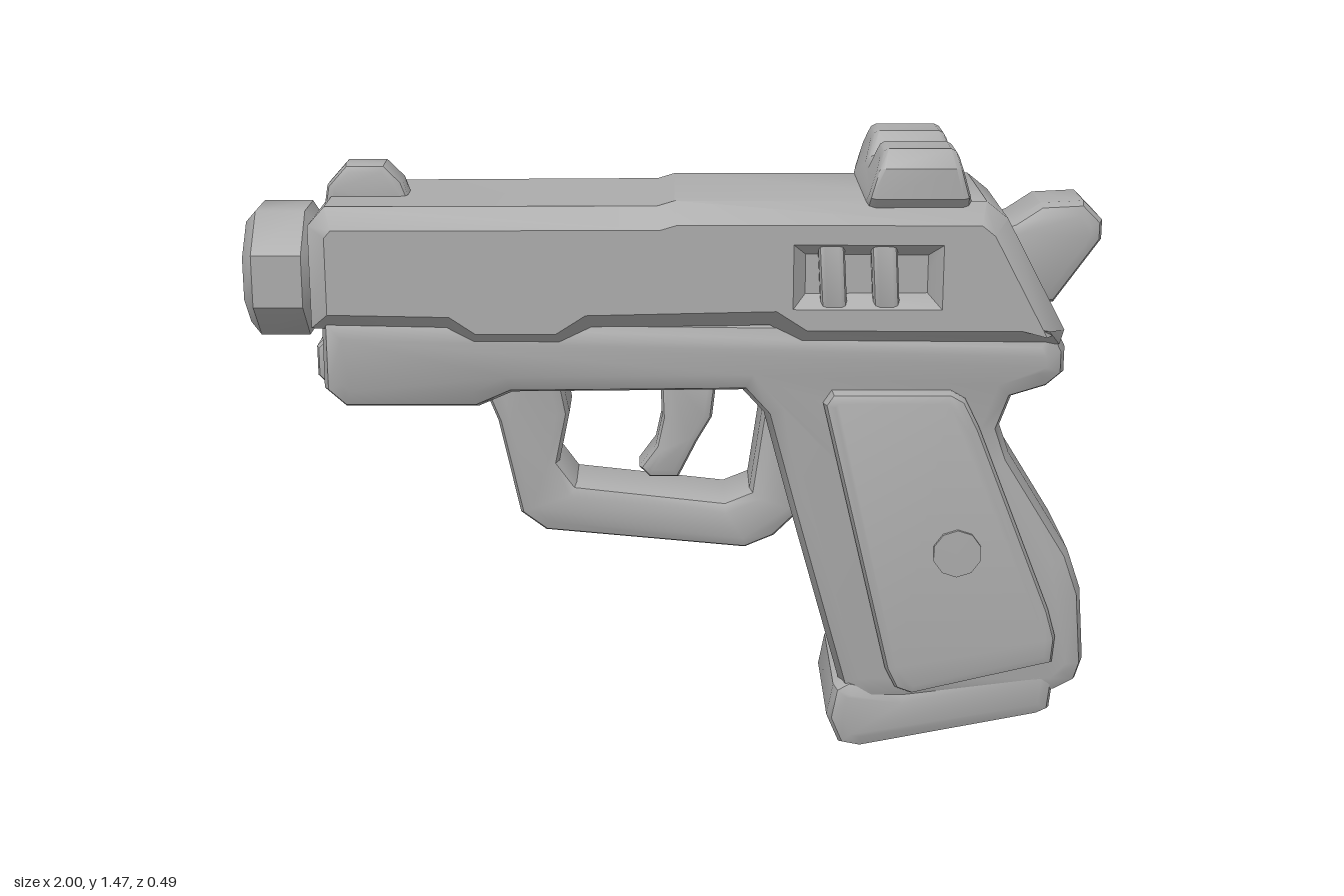
import * as THREE from 'three';
import { toCreasedNormals } from 'three/addons/utils/BufferGeometryUtils.js';

const toVectors = (points) => points.map(([x, y]) => new THREE.Vector2(x, y));

// Side outline extruded across z to +-half, with edges rounded inward by bevel
function slab(points, half, bevel, { holes = [], thick = bevel, segments = 2 } = {}) {
  const shape = new THREE.Shape(toVectors(points));
  for (const hole of holes) shape.holes.push(new THREE.Path(toVectors(hole)));
  const geometry = new THREE.ExtrudeGeometry(shape, {
    depth: 2 * (half - thick), bevelEnabled: true, bevelSegments: segments,
    bevelSize: bevel, bevelThickness: thick, bevelOffset: -bevel,
  });
  return geometry.translate(0, 0, thick - half);
}

// Apply fn to every vertex position
function warp(geometry, fn) {
  const p = geometry.attributes.position;
  const v = new THREE.Vector3();
  for (let i = 0; i < p.count; i++) {
    fn(v.fromBufferAttribute(p, i));
    p.setXYZ(i, v.x, v.y, v.z);
  }
  return geometry;
}

export function createModel() {
  const group = new THREE.Group();
  const grey = new THREE.MeshStandardMaterial({ color: 0xaaaaaa });
  grey.name = 'grey';

  function add(name, geometry, crease = 0.65) {
    const mesh = new THREE.Mesh(toCreasedNormals(geometry, crease), grey);
    mesh.name = name;
    group.add(mesh);
  }

  // Slide with a stepped lower edge, a recess for the grip ribs and a slight taper to the nose
  const slide = slab([
    [-0.84, 1.05], [-0.84, 1.29], [-0.8, 1.335], [-0.04, 1.338], [0, 1.35],
    [0.71, 1.35], [0.76, 1.31], [0.9, 1.05], [0.89, 1.015], [0.29, 1.015], [0.22, 1.06],
    [-0.19, 1.05], [-0.26, 1.005], [-0.47, 1.005], [-0.53, 1.045],
  ], 0.243, 0.045, {
    holes: [[[0.315, 1.155], [0.565, 1.155], [0.565, 1.215], [0.315, 1.215]]], thick: 0.06, segments: 1,
  });
  add('slide', warp(slide, (v) => { v.z *= 0.965 + 0.045 * v.x; }));
  add('slideCore', new THREE.BoxGeometry(0.4, 0.18, 0.4).translate(0.44, 1.185, 0));
  for (const x of [0.36, 0.48]) {
    add('slideRib', slab([
      [x - 0.025, 1.1], [x - 0.035, 1.27], [x + 0.025, 1.27], [x + 0.035, 1.1],
    ], 0.234, 0.015));
  }

  // Frame and grip in one piece
  add('frame', slab([
    [-0.82, 1.08], [-0.82, 0.9], [-0.77, 0.855], [-0.46, 0.855], [-0.38, 0.89], [0.16, 0.895],
    [0.21, 0.84], [0.27, 0.62], [0.4, 0.16], [0.46, 0.1], [0.92, 0.14], [0.975, 0.17],
    [0.99, 0.22], [0.975, 0.4], [0.94, 0.5], [0.79, 0.74], [0.765, 0.81], [0.79, 0.88],
    [0.87, 0.905], [0.91, 0.94], [0.91, 1.0], [0.88, 1.06],
  ], 0.2, 0.05, { thick: 0.06 }));

  // Base plate of the grip
  add('basePlate', slab([
    [0.37, 0.08], [0.385, 0.16], [0.42, 0.18], [0.55, 0.16], [0.9, 0.23], [0.92, 0.2],
    [0.91, 0.1], [0.88, 0.085], [0.45, 0.0], [0.4, 0.01],
  ], 0.2, 0.035));

  // Side panels with a round screw on each side
  add('gripPanels', slab([
    [0.345, 0.88], [0.365, 0.91], [0.64, 0.91], [0.675, 0.89], [0.71, 0.82], [0.89, 0.37],
    [0.91, 0.3], [0.905, 0.235], [0.57, 0.155], [0.53, 0.17], [0.505, 0.22],
  ], 0.232, 0.025));
  add('gripScrews', new THREE.CylinderGeometry(0.058, 0.058, 0.48, 10)
    .rotateX(Math.PI / 2).translate(0.665, 0.52, 0));

  // Trigger guard and trigger, both running up into the frame
  add('triggerGuard', slab([
    [-0.46, 1.02], [-0.46, 0.9], [-0.42, 0.8], [-0.37, 0.57], [-0.31, 0.525], [0.17, 0.48],
    [0.24, 0.51], [0.29, 0.56], [0.34, 0.57], [0.34, 1.02],
  ], 0.1, 0.03, {
    holes: [[
      [-0.27, 0.92], [-0.25, 0.82], [-0.275, 0.7], [-0.235, 0.645], [0.12, 0.605], [0.18, 0.63],
      [0.21, 0.84], [0.21, 0.92],
    ]],
  }));
  add('trigger', slab([
    [-0.035, 0.93], [-0.03, 0.8], [-0.045, 0.73], [-0.085, 0.675], [-0.06, 0.65], [0.01, 0.65],
    [0.055, 0.74], [0.09, 0.8], [0.105, 0.93],
  ], 0.06, 0.02));

  // Octagonal muzzle with an open bore, slightly wider than tall
  const muzzle = new THREE.LatheGeometry(toVectors([
    [0.12, -0.25], [0.13, -0.16], [0.16, -0.14], [0.16, -0.025], [0.13, 0], [0.085, 0], [0.075, -0.04], [0, -0.04],
  ]), 8, Math.PI / 8);
  muzzle.rotateZ(Math.PI / 2).scale(1, 1, 1.08).translate(-1, 1.157, 0);
  add('muzzle', muzzle, 0.8);

  // Guide rod end below the muzzle
  add('guideRod', slab([
    [-0.84, 0.92], [-0.84, 0.99], [-0.82, 1.01], [-0.7, 1.01], [-0.7, 0.9], [-0.82, 0.9],
  ], 0.12, 0.02));

  // Front sight
  add('frontSight', slab([
    [-0.82, 1.3], [-0.81, 1.36], [-0.765, 1.41], [-0.675, 1.41], [-0.635, 1.37], [-0.61, 1.3],
  ], 0.047, 0.018));

  // Notched rear sight, extruded along x and narrowed toward the top
  const rearSight = slab([
    [-0.19, 1.33], [-0.217, 1.36], [-0.217, 1.43], [-0.18, 1.47], [-0.075, 1.47], [-0.03, 1.42],
    [0.03, 1.42], [0.075, 1.47], [0.18, 1.47], [0.217, 1.43], [0.217, 1.36], [0.19, 1.33],
  ], 0.12, 0.02).rotateY(Math.PI / 2);
  warp(rearSight, (v) => {
    v.x = 0.555 + v.x * (1 - 0.3 * Math.max(0, v.y - 1.35) / 0.12);
  });
  add('rearSight', rearSight);

  // Hammer
  add('hammer', slab([
    [0.72, 1.26], [0.79, 1.285], [0.85, 1.325], [0.95, 1.33], [0.995, 1.285], [0.995, 1.24],
    [0.89, 1.09], [0.76, 1.09],
  ], 0.1, 0.03));

  return group;
}
